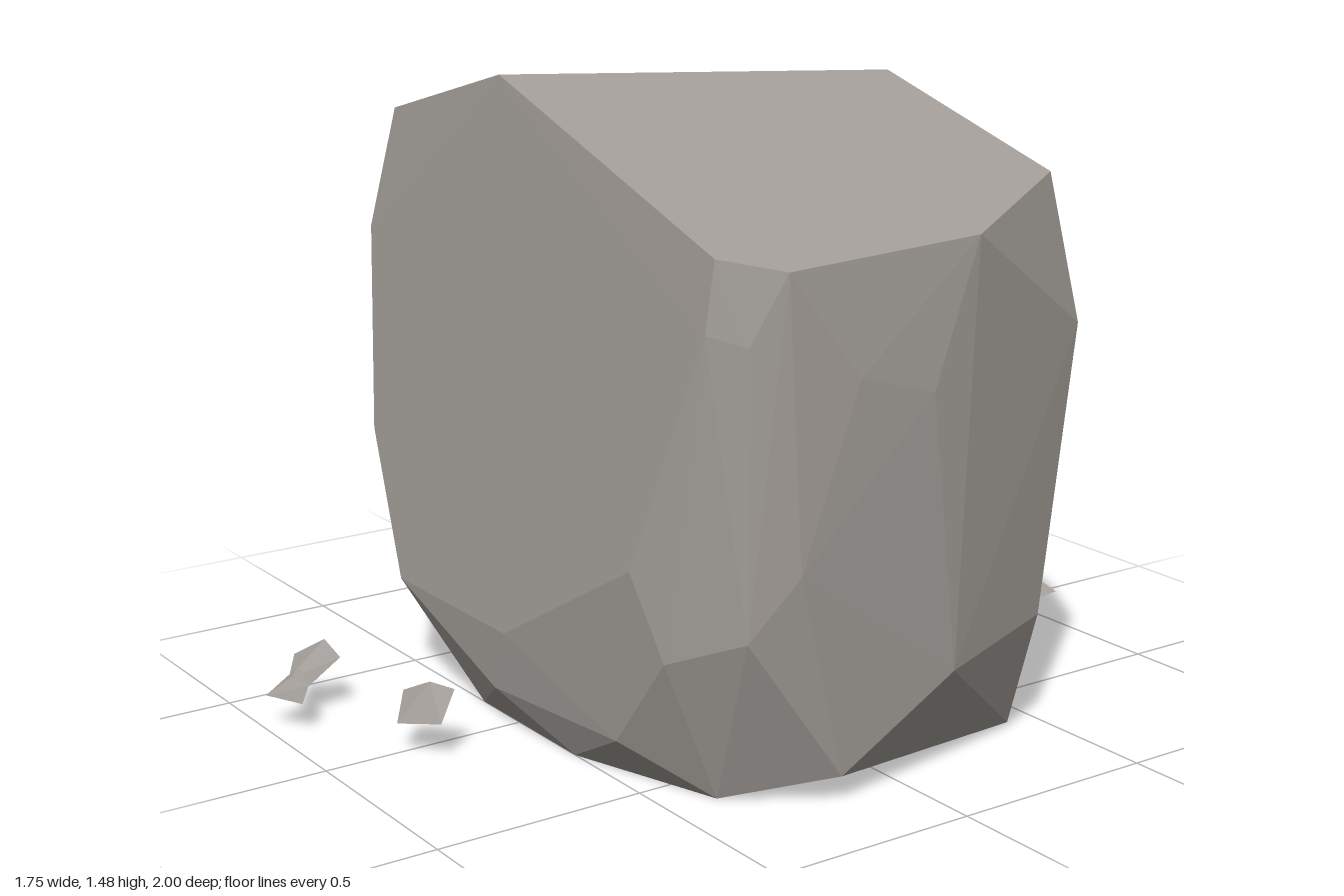
import * as THREE from 'three';
import { ConvexGeometry } from 'three/addons/geometries/ConvexGeometry.js';

const stone = new THREE.MeshStandardMaterial({ color: 0xa09b96, flatShading: true });
stone.name = 'grey stone';

// Faceted solid stretched around a few corner points
function facetedStone(name, corners) {
  const mesh = new THREE.Mesh(
    new ConvexGeometry(corners.map(c => new THREE.Vector3(...c))), stone);
  mesh.name = name;
  return mesh;
}

// The broad front and back faces lean inward as they rise
const lean = y => 0.58 - (y - 0.255) * 0.139;
const onFront = ([x, y]) => [x, y, lean(y)];
const onBack = ([x, y]) => [x, y, -lean(y)];

// Top corners lie on two planes that meet in a slanted ridge
const leftSlope = ([x, z]) => [x, 1.48 + 0.27 * (x + 0.19) + 0.1325 * (z - 0.41), z];
const rightSlope = ([x, z]) => [x, 1.48 - 0.305 * (x + 0.19) - 0.124 * (z - 0.41), z];

function boulder() {
  const front = [[-0.72, 1.06], [-0.61, 0.58], [-0.41, 0.255], [0.07, 0.255],
    [0.53, 0.52], [0.70, 1.05]].map(onFront);
  const back = [[-0.69, 0.84], [-0.40, 0.45], [-0.08, 0.24], [0.43, 0.30],
    [0.63, 0.62], [0.78, 0.97]].map(onBack);
  const top = [
    [-0.19, 1.48, 0.41], [0.18, 1.47, -0.42],
    ...[[-0.67, 0.42], [-0.78, 0.33], [-0.85, 0.19], [-0.80, -0.35], [-0.74, -0.445]].map(leftSlope),
    ...[[0.70, 0.445], [0.81, 0.34], [0.87, -0.11], [0.73, -0.43]].map(rightSlope),
  ];
  const rightFlank = [
    [0.61, 0.33, 0.51], [0.77, 0.40, 0.41], [0.77, 1.03, 0.41], [0.82, 0.54, 0.31],
    [0.845, 0.95, 0.18], [0.845, 0.26, -0.09], [0.865, 0.9, 0.0],
    [0.77, 0.305, -0.40], [0.80, 0.065, 0.18],
  ];
  const leftFlank = [
    [-0.875, 0.57, 0.20], [-0.83, 0.63, 0.32], [-0.78, 0.60, 0.40], [-0.80, 0.5, -0.33],
  ];
  const base = [
    [-0.71, 0, 0.33], [-0.16, 0, 0.50], [0.24, 0, 0.50], [0.62, 0, 0.38],
    [0.67, 0.01, -0.41], [0.18, 0, -0.56], [-0.53, 0, -0.555], [-0.71, 0, -0.20],
    [0.01, 0.105, 0.57], [0.44, 0.105, 0.52],
  ];
  return facetedStone('boulder', [...front, ...back, ...top, ...rightFlank, ...leftFlank, ...base]);
}

// Small chips scattered before and behind the boulder
const chips = [
  [[-0.43, 0.115, 0.86], [-0.37, 0.16, 0.81], [-0.31, 0.13, 0.80], [-0.32, 0.065, 0.89], [-0.35, 0.09, 0.915]],
  [[-0.31, 0.13, 0.91], [-0.235, 0.11, 0.92], [-0.23, 0.07, 0.94], [-0.305, 0.08, 0.995], [-0.28, 0.12, 0.94]],
  [[-0.04, 0.13, 0.78], [0.03, 0.165, 0.75], [0.08, 0.155, 0.715], [0.105, 0.09, 0.765], [0.01, 0.075, 0.825]],
  [[-0.315, 0.08, -0.97], [-0.245, 0.115, -1.0], [-0.235, 0.07, -0.91], [-0.28, 0.11, -0.95]],
  [[-0.24, 0.08, -0.80], [-0.20, 0.125, -0.85], [-0.125, 0.10, -0.83], [-0.19, 0.075, -0.80]],
  [[0.145, 0.08, -0.92], [0.175, 0.115, -0.96], [0.24, 0.10, -0.96], [0.20, 0.07, -0.875], [0.16, 0.09, -0.885]],
];

export function createModel() {
  const model = new THREE.Group();
  model.name = 'rock';
  model.add(boulder());
  chips.forEach((corners, i) => model.add(facetedStone(`stoneChip${i + 1}`, corners)));
  return model;
}
